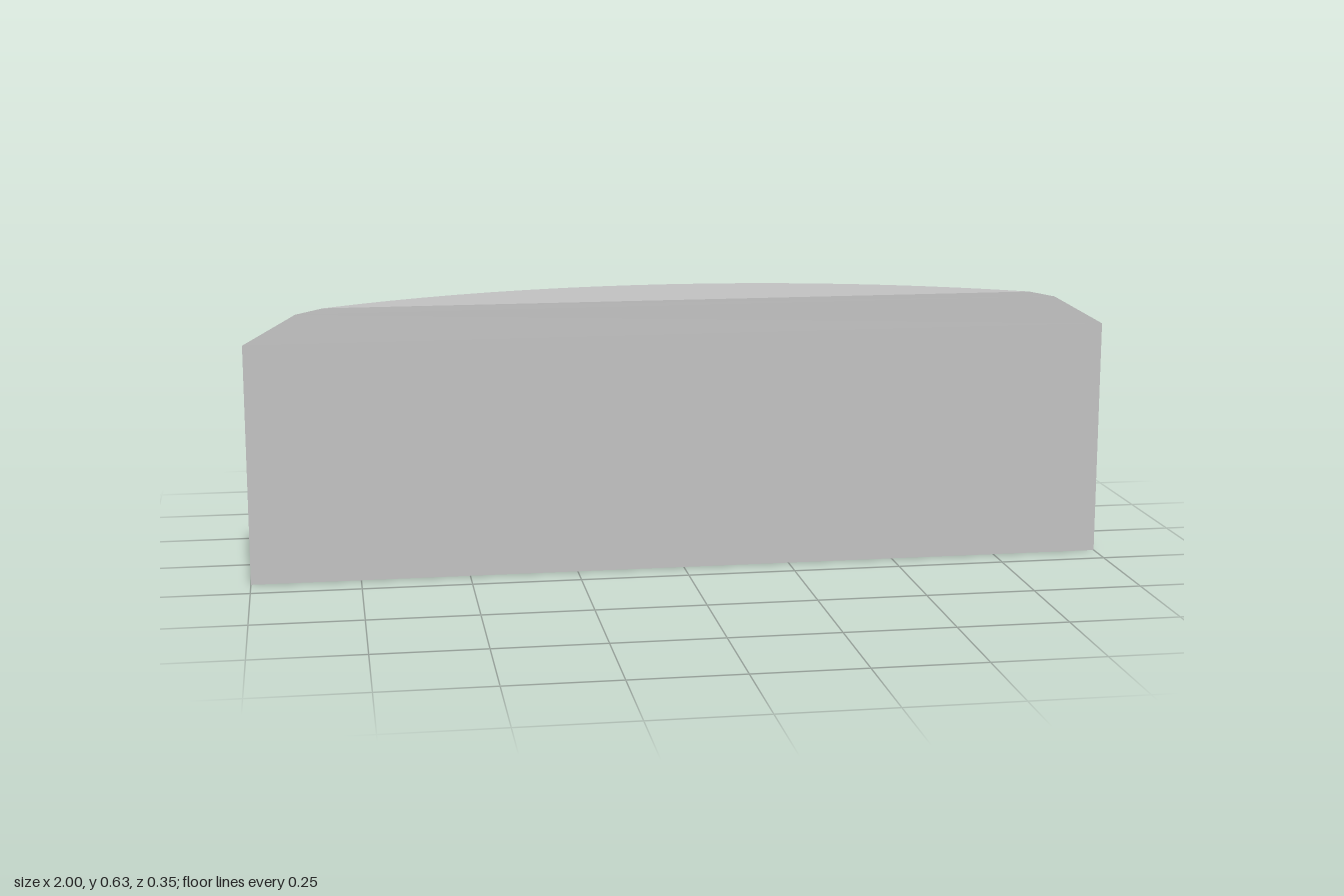
import * as THREE from 'three';

const CENTRE_Z = 1.412; // axis of the curved back
const FRONT_Z = 0.177; // flat front plane
const SEGMENTS = 20;

// One closed outline: an arc of the given radius cut off by the front plane
function outline(radius, y) {
  const half = Math.acos((CENTRE_Z - FRONT_Z) / radius);
  return Array.from({ length: SEGMENTS + 1 }, (_, i) => {
    const a = half * (2 * i / SEGMENTS - 1);
    return [radius * Math.sin(a), y, CENTRE_Z - radius * Math.cos(a)];
  });
}

export function createModel() {
  const grey = new THREE.MeshStandardMaterial({ color: 0xc0c0c0, flatShading: true });
  grey.name = 'light grey';

  // Straight wall, wide chamfer, then a shallow lip to the flat top
  const rings = [[1.589, 0], [1.589, 0.553], [1.517, 0.62], [1.482, 0.633]]
    .map(([r, y]) => outline(r, y));
  const positions = [];
  const tri = (a, b, c) => positions.push(...a, ...b, ...c);

  // Curved back, chamfer and flat front (the closing segment of each outline)
  for (let j = 0; j < rings.length - 1; j++) {
    const low = rings[j], high = rings[j + 1];
    for (let i = 0; i <= SEGMENTS; i++) {
      const n = (i + 1) % (SEGMENTS + 1);
      tri(low[i], high[i], high[n]);
      tri(low[i], high[n], low[n]);
    }
  }

  // Underside and top
  const bottom = rings[0], top = rings[rings.length - 1];
  for (let i = 1; i < SEGMENTS; i++) {
    tri(bottom[0], bottom[i], bottom[i + 1]);
    tri(top[0], top[i + 1], top[i]);
  }

  const geometry = new THREE.BufferGeometry();
  geometry.setAttribute('position', new THREE.Float32BufferAttribute(positions, 3));
  geometry.computeVertexNormals();
  const block = new THREE.Mesh(geometry, grey);
  block.name = 'curvedBlock';

  const group = new THREE.Group();
  group.name = 'chamferedArcBlock';
  group.add(block);
  return group;
}
